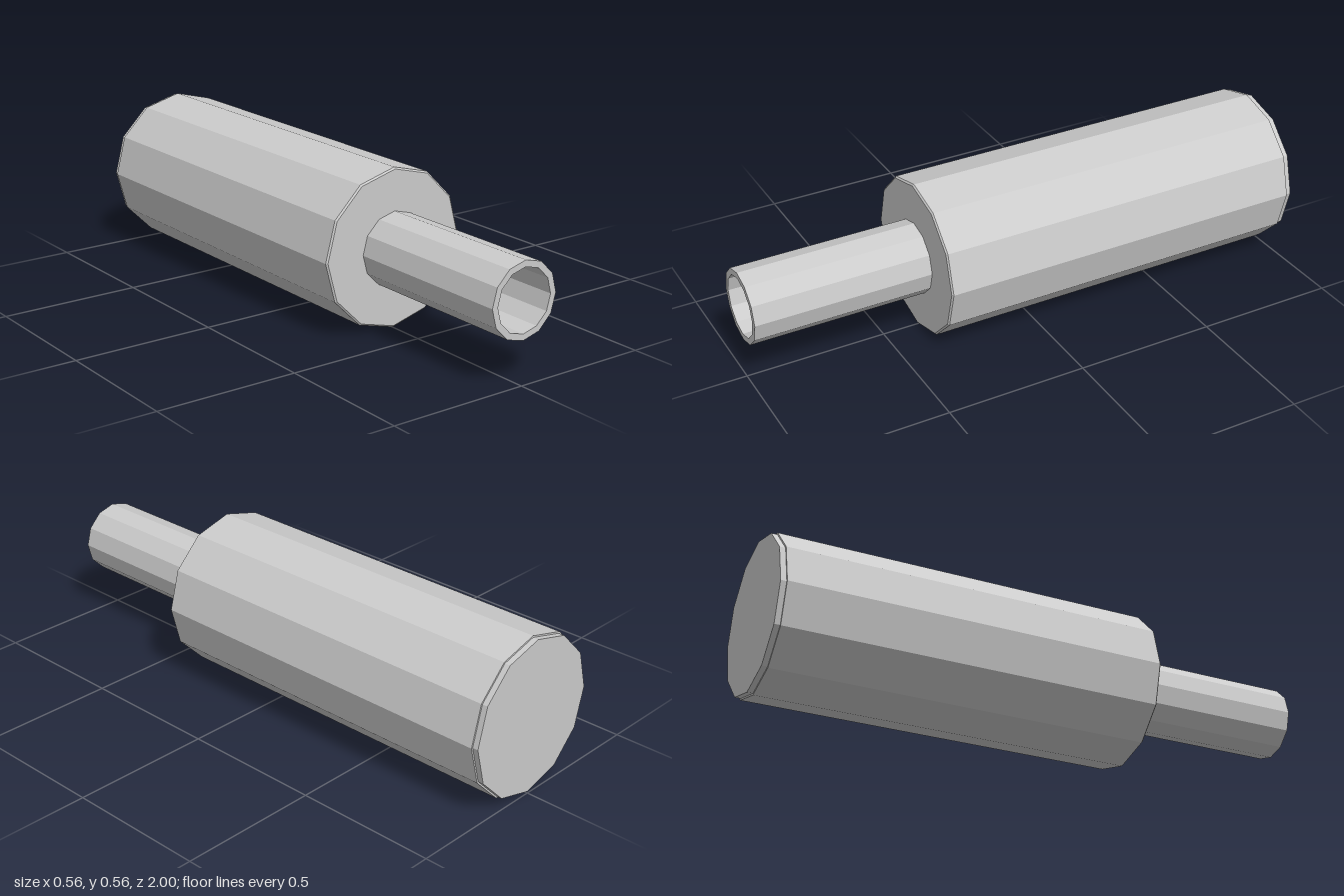
import * as THREE from 'three';

const SIDES = 12;
const CENTRE_Y = 0.28;

// Turned part along z: profile is a list of [radius, z] from back to front
function turned(name, profile) {
  const points = profile.map(([r, z]) => new THREE.Vector2(r, z));
  const geometry = new THREE.LatheGeometry(points, SIDES);
  geometry.rotateX(Math.PI / 2);
  const material = new THREE.MeshStandardMaterial({ color: 0xcccccc, flatShading: true });
  const mesh = new THREE.Mesh(geometry, material);
  mesh.name = name;
  mesh.position.y = CENTRE_Y;
  return mesh;
}

export function createModel() {
  const group = new THREE.Group();
  group.name = 'steppedCylinder';

  // Thick body with a finely bevelled front rim
  group.add(turned('body', [[0, -0.98], [0.279, -0.98], [0.279, 0.365], [0.273, 0.37], [0, 0.37]]));

  // Slightly narrower cap closing the back
  group.add(turned('endCap', [[0, -1], [0.273, -1], [0.273, -0.98]]));

  // Narrow hollow tube at the front, open at its tip
  group.add(turned('tube', [[0.13, 0.37], [0.13, 1], [0.108, 1], [0.108, 0.37]]));

  return group;
}
